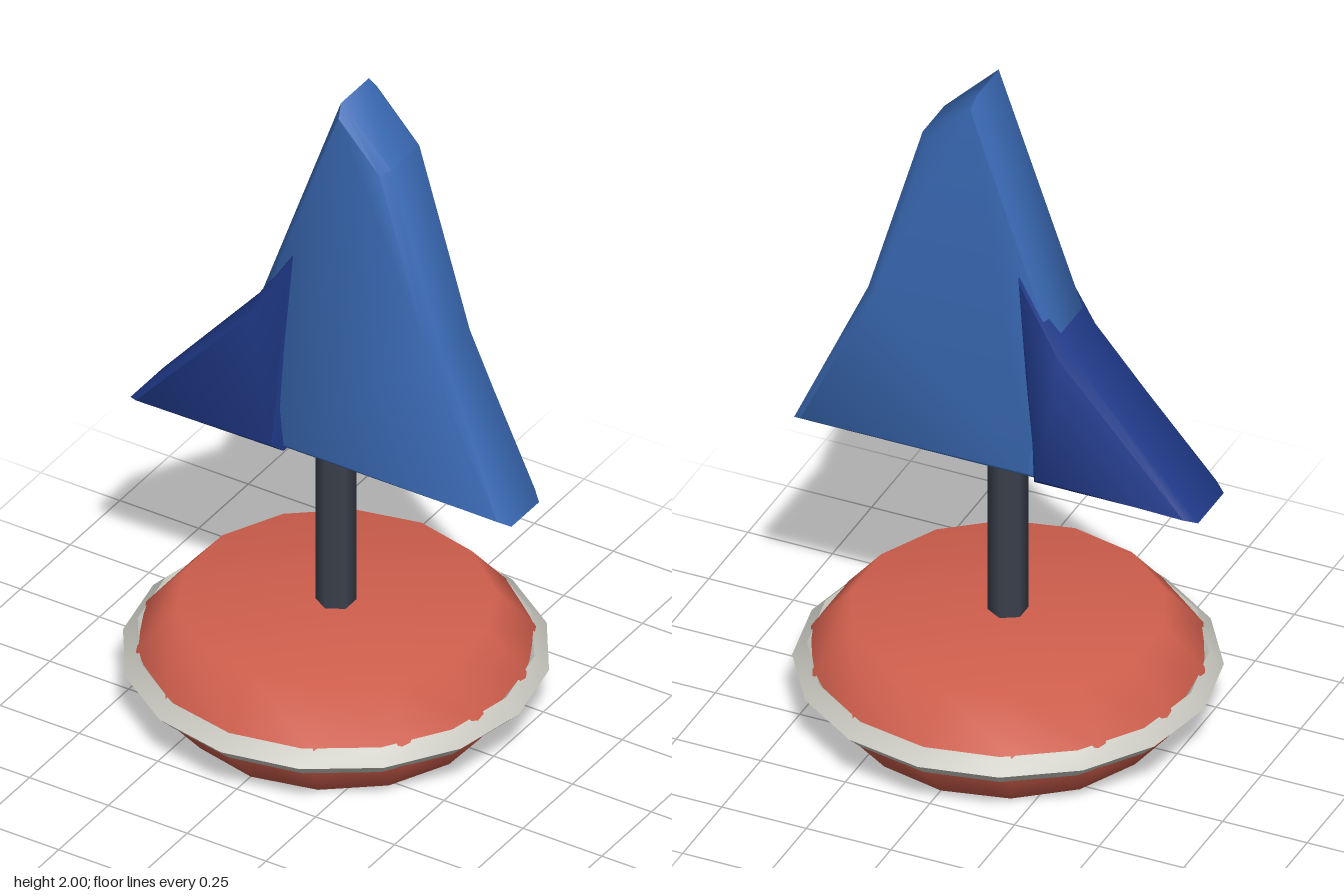
import * as THREE from 'three';
import { toCreasedNormals } from 'three/addons/utils/BufferGeometryUtils.js';

const BEVEL = 0.025;

function part(name, geometry, color) {
  const mesh = new THREE.Mesh(geometry, new THREE.MeshStandardMaterial({ color }));
  mesh.name = name;
  return mesh;
}

// Thick sail slab with softened edges, centred on z = 0
function sail(name, outline, halfDepth, color) {
  const shape = new THREE.Shape(outline.map(([x, y]) => new THREE.Vector2(x, y)));
  const depth = 2 * (halfDepth - BEVEL);
  const geometry = new THREE.ExtrudeGeometry(shape, {
    depth, bevelEnabled: true, bevelSegments: 1,
    bevelSize: BEVEL, bevelOffset: -BEVEL, bevelThickness: BEVEL,
  });
  geometry.translate(0, 0, -depth / 2);
  return part(name, toCreasedNormals(geometry, 0.9), color);
}

export function createModel() {
  const boat = new THREE.Group();
  boat.name = 'toySailboat';

  // Round fourteen-sided hull with sloping top and bottom rims
  const profile = [[0, 0], [0.43, 0], [0.54, 0.13], [0.54, 0.2], [0.43, 0.33], [0, 0.33]]
    .map(([r, y]) => new THREE.Vector2(r, y));
  boat.add(part('hull', new THREE.LatheGeometry(profile, 14), 0xd05f4d));

  // Diamond-section rubbing band around the hull
  const band = new THREE.TorusGeometry(0.54, 0.04, 4, 16);
  band.rotateX(Math.PI / 2);
  band.translate(0, 0.165, 0);
  boat.add(part('hullBand', toCreasedNormals(band, 0.9), 0xc8c8c0));

  // Six-sided mast
  const mast = new THREE.CylinderGeometry(0.055, 0.055, 0.6, 6);
  mast.translate(0, 0.6, 0);
  boat.add(part('mast', mast, 0x3b404c));

  // Large sail and the slightly thicker small sail overlapping its edge
  boat.add(sail('mainSail', [
    [-0.125, 0.82], [0.6, 0.82], [0.38, 1.3], [0.22, 1.84], [0.06, 2], [-0.19, 1.3],
  ], 0.095, 0x3a6ab5));
  boat.add(sail('foreSail', [
    [-0.6, 0.815], [-0.115, 0.815], [-0.07, 1.49], [-0.22, 1.255],
  ], 0.107, 0x203a8a));

  return boat;
}
